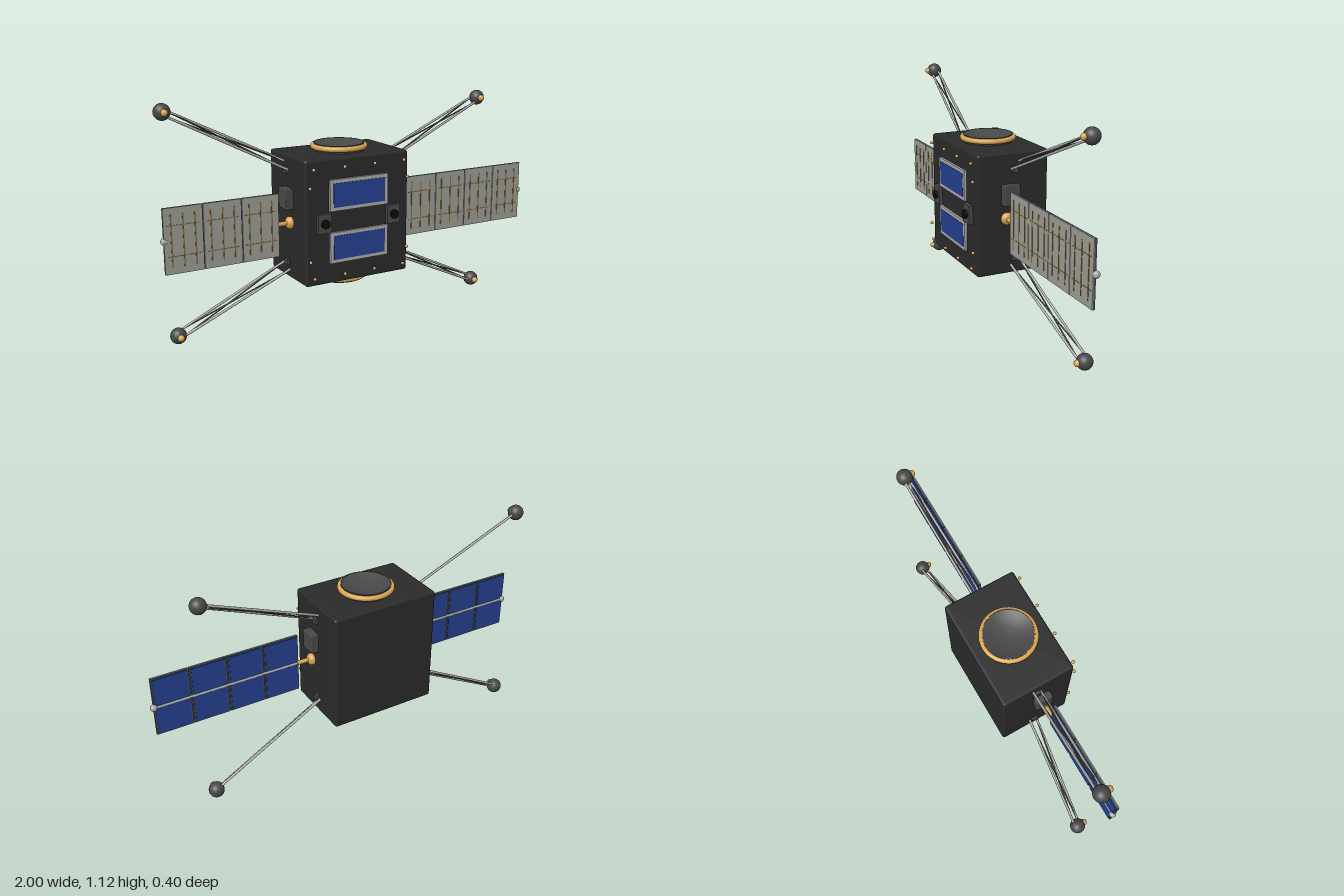
import * as THREE from 'three';
import { RoundedBoxGeometry } from 'three/addons/geometries/RoundedBoxGeometry.js';

const mat = (color) => new THREE.MeshStandardMaterial({ color });
const BLACK = mat(0x2a2a2a), DARK = mat(0x484848), GOLD = mat(0xd9a552), SILVER = mat(0xaaaaaa);
const BLUE = mat(0x24408f), FRAME = mat(0x4a505a), BACKING = mat(0x9c9c94), BROWN = mat(0x85693a), LENS = mat(0x0c0c0c);
const DISH = mat(0x484848);
DISH.side = THREE.DoubleSide;

const BODY = { x: -0.095, y: 0.559, z: -0.015, w: 0.55, h: 0.594, d: 0.366 };

function add(parent, name, geometry, material, x = 0, y = 0, z = 0) {
  const mesh = new THREE.Mesh(geometry, material);
  mesh.name = name;
  mesh.position.set(x, y, z);
  parent.add(mesh);
  return mesh;
}

const box = (parent, name, material, w, h, d, x, y, z) =>
  add(parent, name, new THREE.BoxGeometry(w, h, d), material, x, y, z);

const ball = (parent, name, material, r, x, y, z) =>
  add(parent, name, new THREE.SphereGeometry(r, 24, 16), material, x, y, z);

// Cylinder between two points
function rod(parent, name, material, a, b, r) {
  const dir = b.clone().sub(a);
  const mesh = add(parent, name, new THREE.CylinderGeometry(r, r, dir.length(), 12), material);
  mesh.position.copy(a).lerp(b, 0.5);
  mesh.quaternion.setFromUnitVectors(new THREE.Vector3(0, 1, 0), dir.normalize());
  return mesh;
}

// Shallow dish with raised rim and gold ring, built facing up
function makeDish() {
  const g = new THREE.Group();
  const profile = [[0, 0.01], [0.04, 0.012], [0.08, 0.02], [0.118, 0.036]].map((p) => new THREE.Vector2(...p));
  add(g, 'dishBowl', new THREE.LatheGeometry(profile, 48), DISH);
  const rim = new THREE.CylinderGeometry(0.12, 0.12, 0.037, 48, 1, true);
  add(g, 'dishRim', rim, BLACK, 0, 0.0185, 0).material = DISH;
  add(g, 'dishRing', new THREE.TorusGeometry(0.124, 0.013, 12, 56), GOLD, 0, 0.02, 0).rotation.x = Math.PI / 2;
  return g;
}

// Solar wing extending along side s from x0, made of n panels
function makeWing(s, x0, n, length) {
  const g = new THREE.Group();
  const y = 0.54, z = 0.03, h = 0.3, pitch = length / n;
  for (let i = 0; i < n; i++) {
    const x = s * (x0 + pitch * (i + 0.5)), w = pitch - 0.004;
    box(g, 'panelFrame', FRAME, w, h, 0.01, x, y, z);
    box(g, 'panelBacking', BACKING, w, h, 0.004, x, y, z + 0.006);
    for (const k of [-1, 1]) {
      box(g, 'solarCell', BLUE, w - 0.014, h / 2 - 0.012, 0.004, x, y + k * h / 4, z - 0.006);
      box(g, 'crossStrip', BROWN, w * 0.85, 0.004, 0.002, x, y + k * 0.07, z + 0.008);
    }
    for (const k of [-1, 0, 1])
      box(g, 'upStrip', BROWN, 0.006, h * 0.8, 0.002, x + k * pitch * 0.3, y, z + 0.009);
  }
  const tip = s * 0.983;
  rod(g, 'wingSpar', SILVER, new THREE.Vector3(s * x0, y, 0.022), new THREE.Vector3(tip, y, 0.022), 0.006);
  ball(g, 'wingTip', SILVER, 0.017, tip, y, 0.025);
  // Gold mounting arm and hub at the body wall
  const wall = BODY.x + s * BODY.w / 2;
  rod(g, 'wingArm', GOLD, new THREE.Vector3(wall, y, 0.022), new THREE.Vector3(s * (x0 + 0.01), y, 0.022), 0.011);
  ball(g, 'wingHub', GOLD, 0.03, wall + s * 0.008, y, 0.02).scale.x = 0.75;
  return g;
}

// Braced boom from the body wall to a ball at the end
function makeBoom(s, yRoot, tipX, tipY) {
  const g = new THREE.Group();
  const wall = BODY.x + s * BODY.w / 2;
  const root = new THREE.Vector3(wall - s * 0.01, yRoot, -0.025);
  const tip = new THREE.Vector3(tipX, tipY, -0.072);
  const offset = new THREE.Vector3(0, 0.018, -0.02);
  const at = (t, k) => root.clone().lerp(tip, t).addScaledVector(offset, k * (1 - 0.3 * t));
  for (const k of [-1, 1]) {
    rod(g, 'boomRail', SILVER, at(0, k), at(1, k), 0.006);
    rod(g, 'boomBrace', DARK, at(0, k), at(0.97, -k), 0.0035);
  }
  box(g, 'boomBracket', DARK, 0.025, 0.03, 0.03, wall, yRoot + (yRoot > BODY.y ? -0.015 : 0.015), -0.022);
  ball(g, 'boomBall', DARK, 0.038, tip.x, tip.y, tip.z);
  ball(g, 'boomNozzle', GOLD, 0.016, tip.x, tip.y, tip.z + 0.037);
  return g;
}

export function createModel() {
  const model = new THREE.Group();
  model.name = 'spaceProbe';
  const put = (name, g) => { g.name = name; model.add(g); return g; };
  const face = BODY.z + BODY.d / 2;

  add(model, 'body', new RoundedBoxGeometry(BODY.w, BODY.h, BODY.d, 2, 0.012), BLACK, BODY.x, BODY.y, BODY.z);

  // Dishes on the top and bottom
  const top = put('topDish', makeDish());
  top.position.set(BODY.x, 0.856, -0.014);
  const bottom = put('bottomDish', makeDish());
  bottom.position.set(BODY.x, 0.262, -0.014);
  bottom.rotation.x = Math.PI;

  // Framed solar windows on the front
  for (const y of [0.685, 0.436]) {
    box(model, 'windowFrame', SILVER, 0.31, 0.148, 0.012, BODY.x, y, face + 0.008);
    box(model, 'windowCell', BLUE, 0.275, 0.114, 0.006, BODY.x, y, face + 0.013);
  }

  for (const s of [-1, 1]) {
    // Front cameras
    const x = BODY.x + s * 0.185;
    box(model, 'cameraBox', DARK, 0.07, 0.092, 0.022, x, 0.559, face + 0.008);
    add(model, 'cameraLens', new THREE.CylinderGeometry(0.021, 0.021, 0.03, 24), LENS, x, 0.559, face + 0.018)
      .rotation.x = Math.PI / 2;
    // Equipment box on the side wall
    add(model, 'sideBox', new RoundedBoxGeometry(0.045, 0.098, 0.084, 2, 0.005), DARK,
      BODY.x + s * (BODY.w / 2 + 0.0145), 0.656, 0.004);
  }

  // Gold studs standing just off the front
  for (const v of [-1, 1]) {
    for (const x of [-0.24, -0.08, 0.08, 0.24])
      ball(model, 'frontStud', GOLD, 0.008, BODY.x + x, BODY.y + v * 0.256, 0.186);
    for (const s of [-1, 1])
      ball(model, 'frontStud', GOLD, 0.008, BODY.x + s * 0.26, BODY.y + v * 0.173, 0.186);
  }

  put('leftWing', makeWing(1, 0.255, 4, 0.73));
  put('rightWing', makeWing(-1, 0.44, 3, 0.55));

  put('upperLeftBoom', makeBoom(1, 0.79, 0.765, 1.042));
  put('upperRightBoom', makeBoom(-1, 0.8, -0.932, 1.088));
  put('lowerLeftBoom', makeBoom(1, 0.325, 0.765, 0.043));
  put('lowerRightBoom', makeBoom(-1, 0.325, -0.91, 0.054));
  return model;
}
